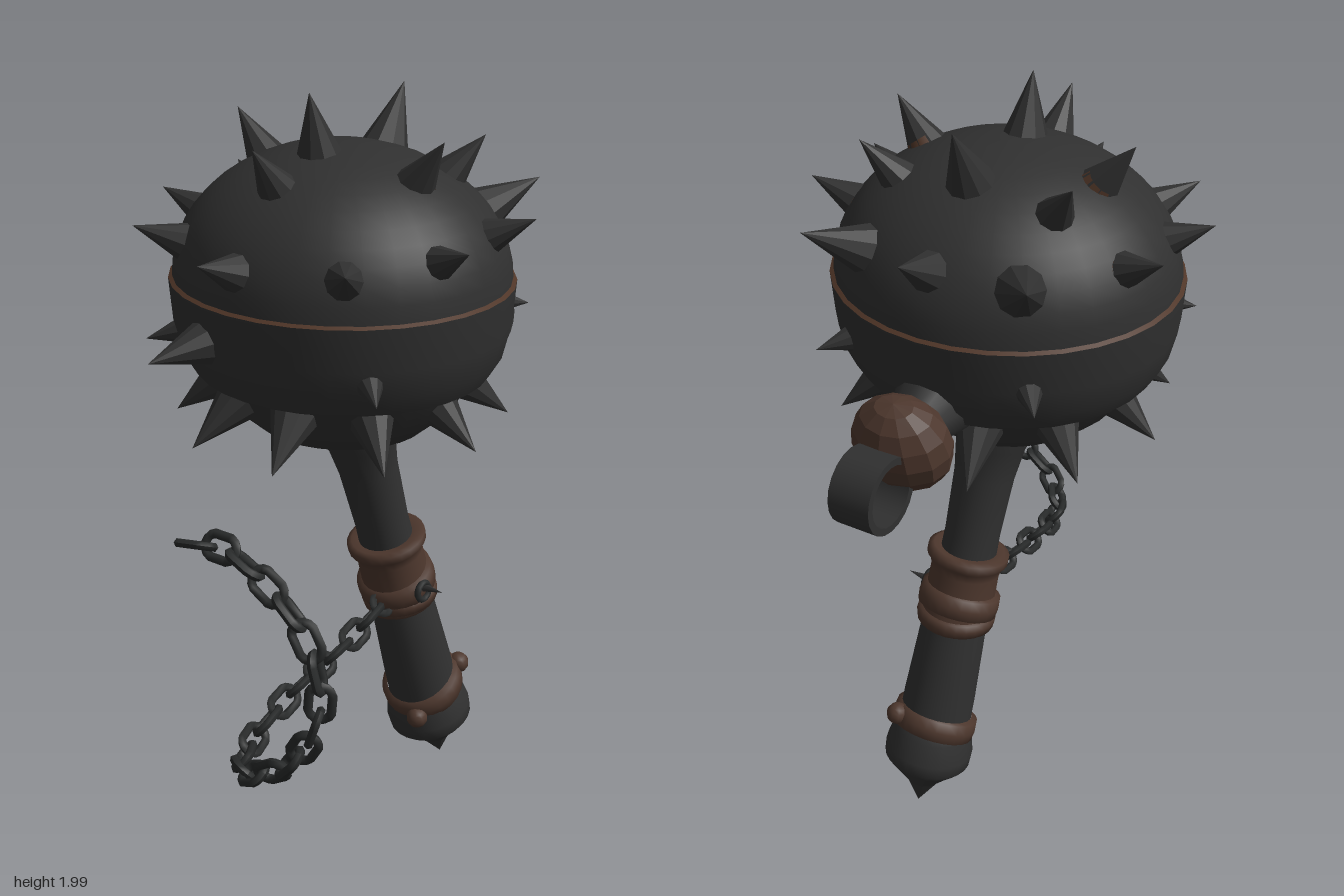
import * as THREE from 'three';

const iron = new THREE.MeshStandardMaterial({ color: 0x303030 });
iron.name = 'dark iron';
const chainIron = new THREE.MeshStandardMaterial({ color: 0x282a2a });
chainIron.name = 'chain iron';
const leather = new THREE.MeshStandardMaterial({ color: 0x4d372d });
leather.name = 'brown leather';
const rust = new THREE.MeshStandardMaterial({ color: 0x4f3527, side: THREE.DoubleSide });
rust.name = 'rust';

const V = (x, y, z) => new THREE.Vector3(x, y, z);
const UP = V(0, 1, 0);

function add(parent, name, geometry, material) {
  const mesh = new THREE.Mesh(geometry, material);
  mesh.name = name;
  parent.add(mesh);
  return mesh;
}

function lathe(points, sides = 24) {
  return new THREE.LatheGeometry(points.map(([r, y]) => new THREE.Vector2(r, y)), sides);
}

// Gives each face its own normal
function faceted(geometry) {
  const g = geometry.toNonIndexed();
  g.computeVertexNormals();
  return g;
}

const BALL = V(-0.02, 1.5, 0);

// Cone spike pointing away from the ball centre, ending at the given tip
function addSpike(parent, tip, rusty) {
  const dir = tip.clone().sub(BALL).normalize();
  const spike = new THREE.Group();
  spike.name = 'spike';
  spike.position.copy(tip);
  spike.quaternion.setFromUnitVectors(UP, dir);
  const h = 0.23, r = 0.083;
  add(spike, 'spikeCone', faceted(new THREE.ConeGeometry(r, h, 10, 1, true)), iron).position.y = -h / 2;
  if (rusty) {
    const patch = new THREE.CylinderGeometry(0.042, 0.064, 0.06, 4, 1, true, 0.5, 1.9);
    add(spike, 'spikeRust', patch, rust).position.y = -0.146;
  }
  parent.add(spike);
}

function buildHead() {
  const head = new THREE.Group();
  head.name = 'spikedHead';
  const shell = new THREE.Group();
  shell.name = 'shell';
  shell.position.set(BALL.x, 0, 0);
  shell.scale.x = 0.95;
  head.add(shell);

  // Upper dome, overlapping lip and lower bowl
  const dome = [];
  for (let i = 0; i <= 12; i++) {
    const a = (i / 12) * Math.PI / 2;
    dome.push([0.42 * Math.cos(a) + 0.0001, 1.55 + 0.315 * Math.sin(a)]);
  }
  add(shell, 'dome', lathe(dome, 32), iron);
  add(shell, 'lip', lathe([[0.43, 1.545], [0.418, 1.552]], 32), rust);
  add(shell, 'band', lathe([[0.375, 1.32], [0.405, 1.37], [0.422, 1.44], [0.43, 1.545]], 32), iron);
  add(shell, 'bandUnderside', lathe([[0.335, 1.312], [0.375, 1.32]], 32), iron);
  add(shell, 'bowl', lathe([[0.001, 1.12], [0.13, 1.135], [0.22, 1.17], [0.29, 1.23], [0.34, 1.32]], 32), iron);

  // Spikes along the crest
  [[-0.135, 1.995, 0], [0.22, 1.97, 0], [-0.33, 1.9, 0]].forEach((p) => addSpike(head, V(...p), false));
  // Mirrored spikes: x, y, z, rust
  const pairs = [
    [-0.04, 1.91, 0.31, 1], [0.18, 1.885, 0.27, 0],
    [-0.4, 1.69, 0.32, 0], [-0.155, 1.71, 0.465, 0], [0.115, 1.73, 0.46, 1], [0.4, 1.745, 0.285, 0],
    [0.37, 1.43, 0.29, 0], [-0.34, 1.385, 0.36, 1],
  ];
  for (const [x, y, z, rusty] of pairs)
    for (const s of [1, -1]) addSpike(head, V(x, y, z * s), rusty);
  // Spikes at either end of the middle rows
  addSpike(head, V(0.445, 1.755, 0), false);
  addSpike(head, V(-0.515, 1.68, 0), false);
  addSpike(head, V(-0.545, 1.43, -0.14), false);
  // Lower ring
  for (let i = 0; i < 10; i++) {
    const a = ((i + 0.5) / 10) * Math.PI * 2;
    addSpike(head, V(BALL.x + 0.43 * Math.cos(a), 1.185, 0.41 * Math.sin(a)), i === 6);
  }
  return head;
}

// Small side ball with a wide hanging ring
function buildSideRing() {
  const g = new THREE.Group();
  g.name = 'sideKnob';
  g.position.set(0.455, 1.32, 0);
  g.rotation.z = -0.25;
  const knob = add(g, 'knob', faceted(new THREE.SphereGeometry(0.125, 12, 8)), leather);
  knob.scale.set(0.76, 0.98, 1);
  const neck = add(g, 'knobNeck', new THREE.CylinderGeometry(0.06, 0.11, 0.14, 12), iron);
  neck.rotation.z = -Math.PI / 2;
  neck.position.x = -0.1;
  const w = 0.053, ro = 0.092, ri = 0.074;
  const ring = add(g, 'hangingRing', lathe([[ri, -w], [ro, -w], [ro, -w], [ro, w], [ro, w], [ri, w], [ri, w], [ri, -w]], 20), iron);
  ring.rotation.x = Math.PI / 2;
  ring.position.set(0.138, -0.018, 0);
  return g;
}

function buildHandle() {
  const g = new THREE.Group();
  g.name = 'handle';
  g.position.set(0.33, 0.005, 0.085);
  g.quaternion.setFromUnitVectors(UP, V(-0.26, 1, -0.072).normalize());

  // Pointed pommel and shaft
  add(g, 'pommelPoint', faceted(lathe([[0.0005, 0], [0.045, 0.075], [0.1, 0.135]], 12)), iron);
  add(g, 'pommel', lathe([[0.1, 0.135], [0.118, 0.155], [0.12, 0.19], [0.107, 0.25], [0.098, 0.27]]), iron);
  add(g, 'shaft', lathe([[0.098, 0.25], [0.096, 0.36], [0.088, 0.55], [0.076, 0.7], [0.072, 0.86],
    [0.078, 1.03], [0.09, 1.12], [0.115, 1.19], [0.115, 1.3]]), iron);

  // Grip collar with a flared rim and crossing strap
  add(g, 'collar', lathe([[0.08, 0.585], [0.098, 0.59], [0.1, 0.61], [0.093, 0.64], [0.09, 0.75],
    [0.097, 0.775], [0.107, 0.785], [0.107, 0.805], [0.093, 0.812], [0.07, 0.808]]), leather);
  const wrap = (name, r, y, h, tilt) => {
    const m = add(g, name, lathe([[r - 0.018, y - h], [r, y - h * 0.8], [r + 0.003, y], [r, y + h * 0.8], [r - 0.018, y + h]]
      .map(([a, b]) => [a, b - y])), leather);
    m.position.y = y;
    m.rotation.z = tilt;
  };
  wrap('collarStrap', 0.105, 0.66, 0.034, 0.16);
  wrap('collarBand', 0.102, 0.615, 0.024, -0.08);
  wrap('lowerStrap', 0.113, 0.275, 0.034, 0.26);

  // Strap studs and collar fastener
  for (const [x, y, z] of [[-0.105, 0.245, 0.05], [0.09, 0.3, 0.07]]) {
    const stud = add(g, 'strapStud', new THREE.SphereGeometry(0.03, 10, 8), leather);
    stud.position.set(x, y, z);
  }
  const hook = add(g, 'fastener', new THREE.TorusGeometry(0.024, 0.009, 6, 12), chainIron);
  hook.position.set(-0.02, 0.66, 0.107);
  const pin = add(g, 'fastenerPin', new THREE.ConeGeometry(0.016, 0.08, 6), iron);
  pin.position.set(-0.01, 0.665, 0.125);
  pin.rotation.x = Math.PI / 2;
  return g;
}

function buildChain() {
  const g = new THREE.Group();
  g.name = 'chain';
  const path = new THREE.CatmullRomCurve3([
    [0.09, 0.61, 0.06], [-0.1, 0.56, 0.07], [-0.3, 0.52, 0.07], [-0.46, 0.485, 0.09], [-0.57, 0.485, 0.14],
    [-0.63, 0.52, 0.22], [-0.64, 0.6, 0.34], [-0.64, 0.72, 0.42], [-0.64, 0.85, 0.445],
    [-0.64, 0.98, 0.39], [-0.64, 1.06, 0.28], [-0.64, 1.1, 0.17], [-0.645, 1.085, 0.09],
  ].map((p) => V(...p)));
  const n = 23;
  const frames = path.computeFrenetFrames(n);
  const link = new THREE.TorusGeometry(0.027, 0.011, 6, 14);
  // Stretch the round link into an oval
  const pos = link.attributes.position;
  for (let i = 0; i < pos.count; i++) pos.setX(i, pos.getX(i) + Math.sign(Math.round(pos.getX(i) * 1e4)) * 0.017);
  link.computeVertexNormals();
  for (let i = 0; i <= n; i++) {
    const m = add(g, 'chainLink', link, chainIron);
    m.position.copy(path.getPointAt(i / n));
    m.quaternion.setFromRotationMatrix(new THREE.Matrix4().makeBasis(frames.tangents[i], frames.normals[i], frames.binormals[i]));
    m.rotateX(i % 2 ? Math.PI / 4 : -Math.PI / 4);
  }
  return g;
}

export function createModel() {
  const model = new THREE.Group();
  model.name = 'spikedMace';
  model.add(buildHead(), buildSideRing(), buildHandle(), buildChain());
  return model;
}
